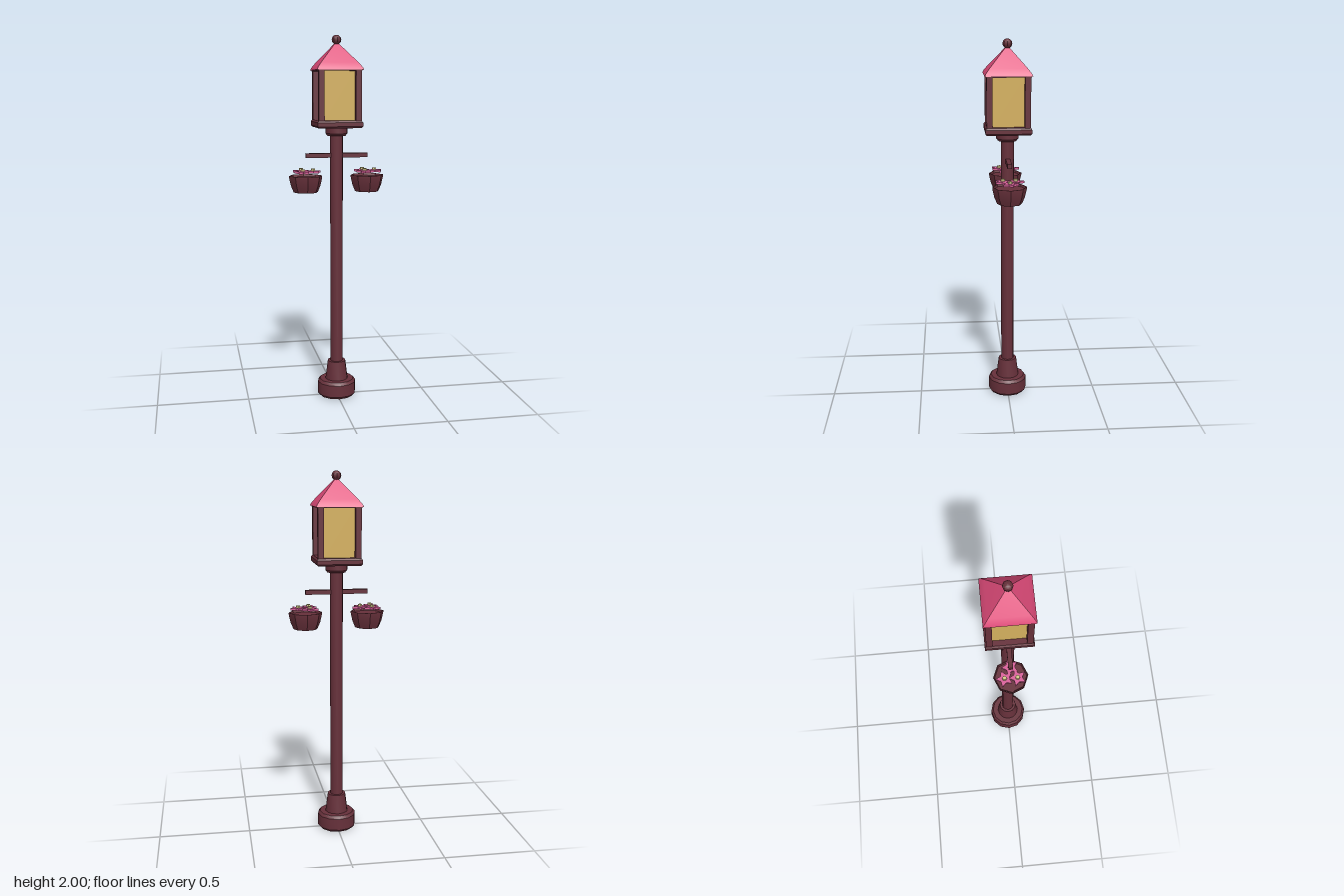
import * as THREE from 'three';
import { toCreasedNormals } from 'three/addons/utils/BufferGeometryUtils.js';

const mat = (name, color) => {
  const m = new THREE.MeshStandardMaterial({ color });
  m.name = name;
  return m;
};

export function createModel() {
  const metal = mat('maroon metal', 0x66303a);
  const roofPink = mat('roof pink', 0xdc4a78);
  const glass = mat('amber glass', 0xd4b05e);
  const petal = mat('petal pink', 0xd9609a);
  const pollen = mat('pale yellow', 0xd8cc8c);
  const model = new THREE.Group();
  model.name = 'streetLamp';

  const add = (name, geometry, material, x = 0, y = 0, z = 0, parent = model) => {
    const mesh = new THREE.Mesh(toCreasedNormals(geometry, 0.6), material);
    mesh.name = name;
    mesh.position.set(x, y, z);
    parent.add(mesh);
    return mesh;
  };
  // Turned profile of [radius, height] points, bottom to top
  const turned = (points, sides = 12) =>
    new THREE.LatheGeometry(points.map(p => new THREE.Vector2(...p)), sides);
  // Square profile of [half width, height] points
  const square = points => new THREE.LatheGeometry(
    points.map(([w, y]) => new THREE.Vector2(w * Math.SQRT2, y)), 4, Math.PI / 4);

  // Foot and pole
  add('base', turned([[0, 0], [0.095, 0], [0.107, 0.014], [0.107, 0.08], [0.095, 0.095], [0, 0.095]]), metal);
  add('foot', turned([[0.064, 0.09], [0.05, 0.2], [0, 0.2]]), metal);
  add('pole', turned([[0.035, 0.19], [0.035, 1.48]]), metal);
  add('collar', turned([[0, 1.465], [0.05, 1.465], [0.06, 1.478], [0.06, 1.52]]), metal);

  // Lantern: floor slab, corner posts, glass, ceiling, roof and finial
  add('lanternFloor', square([[0, 1.51], [0.114, 1.51], [0.122, 1.519], [0.122, 1.54], [0.114, 1.55], [0, 1.55]]), metal);
  for (const x of [-1, 1]) for (const z of [-1, 1])
    add('cornerPost', new THREE.BoxGeometry(0.031, 0.27, 0.031), metal, x * 0.0995, 1.68, z * 0.0995);
  add('lanternGlass', new THREE.BoxGeometry(0.17, 0.268, 0.17), glass, 0, 1.68, 0);
  add('lanternCeiling', new THREE.BoxGeometry(0.236, 0.008, 0.236), metal, 0, 1.814, 0);
  add('roof', square([[0, 1.815], [0.125, 1.815], [0.119, 1.828], [0.1, 1.853], [0.012, 1.952], [0, 1.952]]), roofPink);
  add('finial', new THREE.SphereGeometry(0.026, 8, 6), metal, 0, 1.974, 0);

  // Crossbar
  add('crossbar', new THREE.BoxGeometry(0.34, 0.024, 0.024), metal, 0, 1.359, 0);

  // Five-pointed flower
  const star = new THREE.Shape();
  for (let i = 0; i < 10; i++) {
    const r = i % 2 ? 0.024 : 0.046, a = Math.PI / 2 + i * Math.PI / 5;
    star[i ? 'lineTo' : 'moveTo'](r * Math.cos(a), r * Math.sin(a));
  }
  const flower = new THREE.ExtrudeGeometry(star, { depth: 0.012, bevelEnabled: false }).rotateX(-Math.PI / 2);
  const heart = new THREE.CylinderGeometry(0.011, 0.014, 0.018, 6);

  // Flower pots, one on each side
  for (const side of [-1, 1]) {
    const basket = new THREE.Group();
    basket.name = side > 0 ? 'leftBasket' : 'rightBasket';
    basket.position.set(side * 0.17, 1.16, 0);
    model.add(basket);
    add('pot', turned([[0, 0], [0.066, 0], [0.081, 0.036], [0.091, 0.08], [0.091, 0.09],
      [0.087, 0.09], [0.083, 0.078], [0, 0.078]], 8), metal, 0, 0, 0, basket);
    for (const [x, z] of [[-0.02, -0.034], [-0.02, 0.034], [0.04, 0]]) {
      add('petals', flower, petal, x, 0.105, z, basket);
      add('flowerHeart', heart, pollen, x, 0.119, z, basket);
    }
  }
  return model;
}
